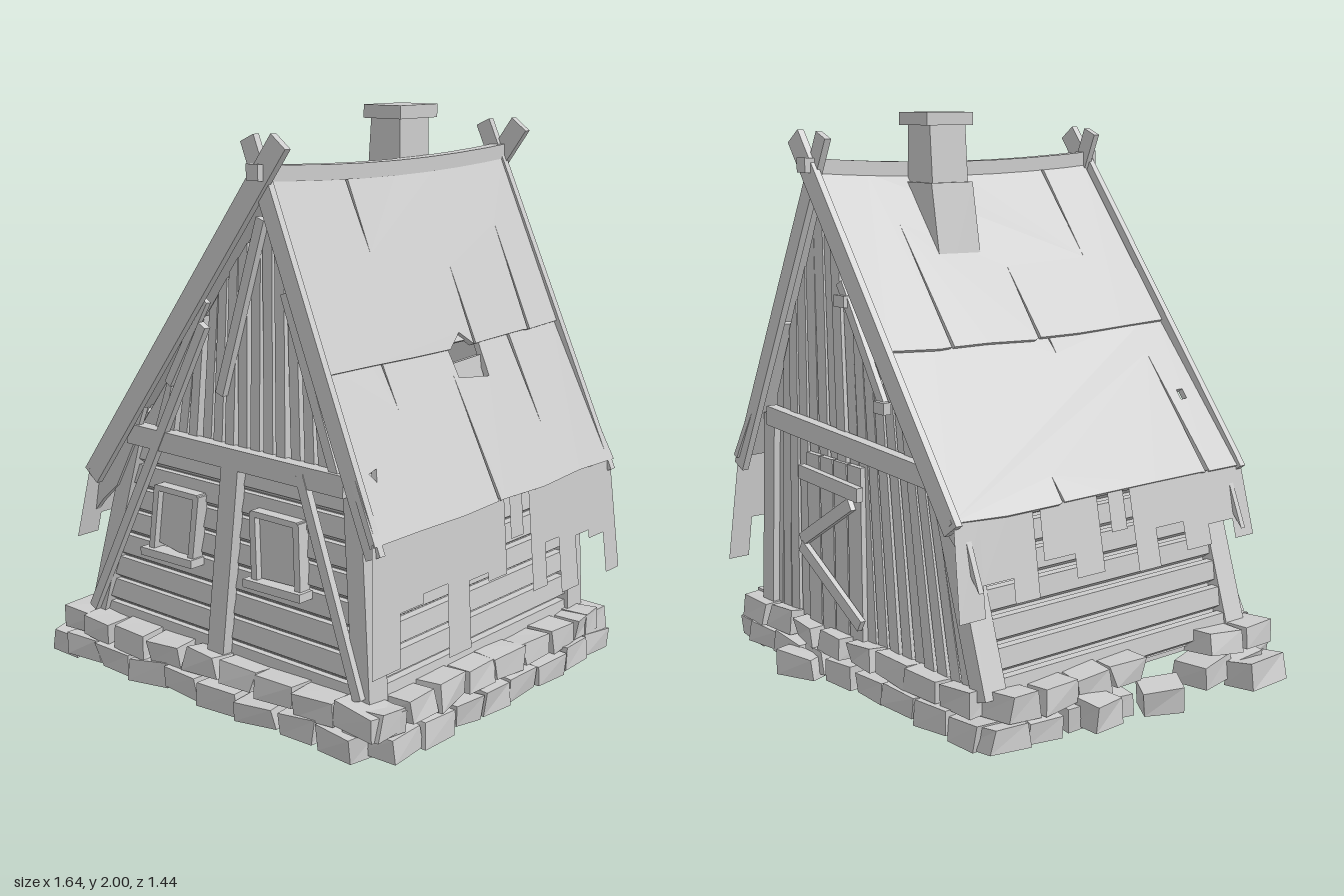
import * as THREE from 'three';

export function createModel() {
  const model = new THREE.Group();
  const grey = new THREE.MeshStandardMaterial({ color: 0xcccccc, side: THREE.DoubleSide });
  grey.name = 'plain grey';

  let seed = 7;
  const rnd = () => (seed = (seed * 16807) % 2147483647) / 2147483647;
  const jit = (a) => (rnd() - 0.5) * 2 * a;

  function add(name, geo, parent = model) {
    if (geo.index) geo = geo.toNonIndexed();
    geo.computeVertexNormals();
    const m = new THREE.Mesh(geo, grey);
    m.name = name;
    parent.add(m);
    return m;
  }
  function group(name) {
    const g = new THREE.Group();
    g.name = name;
    model.add(g);
    return g;
  }
  function prism(pts, depth) {
    const shape = new THREE.Shape(pts.map((p) => new THREE.Vector2(p[0], p[1])));
    return new THREE.ExtrudeGeometry(shape, { depth, bevelEnabled: false });
  }
  // Straight board between two points of a wall plane
  function board(name, a, b, width, z, depth, parent) {
    const dx = b[0] - a[0], dy = b[1] - a[1];
    const m = add(name, new THREE.BoxGeometry(width, Math.hypot(dx, dy), depth), parent);
    m.position.set((a[0] + b[0]) / 2, (a[1] + b[1]) / 2, z);
    m.rotation.z = Math.atan2(-dx, dy);
    return m;
  }
  // Box with its eight corners knocked about
  function rough(w, h, d, amount) {
    const g = new THREE.BoxGeometry(w, h, d), p = g.attributes.position;
    const off = Array.from({ length: 8 }, () => [jit(amount), jit(amount * 0.6), jit(amount)]);
    for (let i = 0; i < p.count; i++) {
      const o = off[(p.getX(i) > 0 ? 1 : 0) + (p.getY(i) > 0 ? 2 : 0) + (p.getZ(i) > 0 ? 4 : 0)];
      p.setXYZ(i, p.getX(i) + o[0], p.getY(i) + o[1], p.getZ(i) + o[2]);
    }
    return g;
  }
  const lerp = THREE.MathUtils.lerp;
  const leftWall = (y) => lerp(-0.57, -0.37, (y - 0.2) / 0.65);
  const rightWall = (y) => lerp(0.65, 0.6, (y - 0.2) / 0.65);
  const roofLine = (x) => (x < 0.27 ? 1.77 - (0.27 - x) * 1.3 : 1.77 - (x - 0.27) * 2.25);

  // Wall cores and floor
  const outline = [[-0.57, 0.15], [0.65, 0.15], [0.61, 0.95], [0.27, 1.75], [-0.42, 0.86], [-0.37, 0.84]];
  for (const z of [0.53, -0.555]) add('gableCore', prism(outline, 0.025)).position.z = z;
  const floor = group('floor');
  for (let i = 0; i < 6; i++) {
    add('floorPlank', new THREE.BoxGeometry(0.2, 0.03, 1.14), floor).position.set(-0.475 + i * 0.204, 0.145 + (i % 2) * 0.006, 0);
  }
  for (const [name, f, s] of [['rightCore', rightWall, 1], ['leftCore', leftWall, -1]]) {
    const pts = [[f(0.15), 0.15], [f(0.86), 0.86], [f(0.86) - s * 0.025, 0.86], [f(0.15) - s * 0.025, 0.15]];
    add(name, prism(pts, 1.1)).position.z = -0.55;
  }

  // Horizontal wall logs with bevelled undersides
  const siding = group('wallLogs');
  const log = (length) => prism([[-0.01, 0], [0.03, 0.026], [0.022, 0.093], [-0.01, 0.093]], length).translate(0, 0, -length / 2);
  for (let i = 0; i < 8; i++) {
    const y = 0.15 + i * 0.09, l = leftWall(y), r = rightWall(y);
    const front = add('frontLog', log(r - l), siding);
    front.position.set((l + r) / 2, y, 0.555);
    front.rotation.set(0, -Math.PI / 2, jit(0.01));
    add('rightLog', log(1.12), siding).position.set(r, y, 0);
    const left = add('leftLog', log(1.12), siding);
    left.position.set(l, y, 0);
    left.rotation.y = Math.PI;
  }

  // Leaning corner posts
  for (const s of [1, -1]) {
    board('leftPost', [-0.595, 0.18], [-0.36, 0.92], 0.07, s * 0.555, 0.09);
    board('rightPost', [0.66, 0.18], [0.615, 0.92], 0.07, s * 0.555, 0.09);
  }

  // Upright planks with tops cut along the roof, fanning in to the apex
  const planks = group('gablePlanks');
  function plank(name, x0, x1, w, y0, z, depth) {
    const top = (x) => Math.max(y0 + 0.01, roofLine(x) - 0.04);
    add(name, prism([[x0 - w, y0], [x0 + w, y0], [x1 + w, top(x1 + w)], [x1 - w, top(x1 - w)]], depth), planks).position.z = z;
  }
  for (let i = 0; i < 15; i++) {
    const x = -0.27 + i * 0.058;
    plank('frontPlank', x, lerp(x, 0.26, 0.14) + jit(0.008), 0.02, 0.9, 0.55, 0.022 + rnd() * 0.015);
  }
  for (let i = 0; i < 18; i++) {
    const depth = 0.022 + rnd() * 0.015;
    plank('backPlank', -0.53 + i * 0.068, lerp(-0.34, 0.57, i / 17), 0.026, 0.16, -0.55 - depth, depth);
  }

  // Front timber framing
  const frame = group('frontFraming');
  board('frontBeam', [-0.38, 0.9], [0.6, 0.895], 0.07, 0.595, 0.05, frame);
  board('centrePost', [0.03, 0.17], [0.115, 0.87], 0.075, 0.6, 0.04, frame);
  board('longBrace', [-0.59, 0.22], [0.0, 1.32], 0.035, 0.61, 0.025, frame);
  board('upperBrace', [0.06, 1.1], [0.25, 1.68], 0.035, 0.595, 0.025, frame);
  board('rightBrace', [0.66, 0.22], [0.42, 0.9], 0.035, 0.61, 0.025, frame);
  board('rightUpperBrace', [0.56, 0.9], [0.35, 1.46], 0.035, 0.595, 0.025, frame);
  board('shortBrace', [-0.18, 1.1], [0.0, 1.4], 0.03, 0.6, 0.02, frame);

  // Front windows
  for (const [x, lean] of [[-0.155, 0.035], [0.315, -0.008]]) {
    const w = group('window');
    board('shutter', [x - lean / 2, 0.52], [x + lean / 2, 0.73], 0.17, 0.59, 0.02, w);
    for (const s of [-1, 1]) board('windowJamb', [x + s * 0.095 - lean / 2, 0.5], [x + s * 0.095 + lean / 2, 0.74], 0.025, 0.6, 0.045, w);
    board('windowHead', [x - 0.1 + lean / 2, 0.735], [x + 0.1 + lean / 2, 0.735], 0.02, 0.6, 0.045, w);
    board('windowSill', [x - 0.13 - lean / 2, 0.5], [x + 0.12 - lean / 2, 0.505], 0.028, 0.61, 0.06, w);
  }

  // Back beam, door with its angled braces, and gable struts
  const back = group('backDoor');
  board('backBeam', [-0.36, 0.86], [0.6, 0.92], 0.07, -0.6, 0.04, back);
  for (let i = 0; i < 4; i++) board('doorPlank', [0.08 + i * 0.085, 0.19], [0.08 + i * 0.085, 0.82], 0.078, -0.588, 0.02, back);
  board('doorTopBar', [0.03, 0.73], [0.39, 0.75], 0.05, -0.61, 0.025, back);
  board('doorUpperBrace', [0.39, 0.5], [0.08, 0.69], 0.045, -0.61, 0.02, back);
  board('doorLowerBrace', [0.39, 0.48], [0.03, 0.27], 0.045, -0.612, 0.02, back);
  board('gableStrut', [0.14, 1.44], [-0.1, 1.05], 0.035, -0.595, 0.02, back);
  for (const [x, y] of [[0.12, 1.38], [-0.1, 1.05]]) board('peg', [x - 0.03, y], [x + 0.03, y], 0.04, -0.605, 0.03, back);

  // Roof sheets with slits and notches [u, half width, length] on either edge
  const roof = group('roof');
  function sheet(name, a, b, w0, w1, side, topCuts, bottomCuts, holes = []) {
    const dir = new THREE.Vector3(b[0] - a[0], b[1] - a[1], 0), len = dir.length();
    dir.normalize();
    const edge = (w, v, cuts, inward) => {
      const pts = [];
      for (let i = 0; i <= 6; i++) {
        const u = lerp(-w, w, i / 6);
        if (!cuts.some((c) => Math.abs(c[0] - u) <= c[1])) pts.push([u, v + (v ? jit(0.008) : 0)]);
      }
      for (const [u, h, l] of cuts) pts.push([u - h, v], [u, v + inward * l], [u + h, v]);
      return pts.sort((p, q) => p[0] - q[0]);
    };
    const shape = new THREE.Shape([...edge(w0, 0, topCuts, 1), ...edge(w1, len, bottomCuts, -1).reverse()].map((p) => new THREE.Vector2(...p)));
    for (const h of holes) shape.holes.push(new THREE.Path(h.map((p) => new THREE.Vector2(...p))));
    const g = new THREE.ExtrudeGeometry(shape, { depth: 0.022, bevelEnabled: false });
    const u = new THREE.Vector3(0, 0, side), n = u.clone().cross(dir);
    g.applyMatrix4(new THREE.Matrix4().makeBasis(u, dir, n).setPosition(a[0], a[1], 0));
    const p = g.attributes.position;
    for (let i = 0; i < p.count; i++) {
      const k = Math.max(0, (p.getY(i) - 0.7) / 1.1);
      p.setY(i, p.getY(i) - 0.025 * k * (1 - (p.getZ(i) / 0.65) ** 2));
    }
    add(name, g, roof);
  }
  sheet('rightUpperRoof', [0.27, 1.795], [0.518, 1.225], 0.605, 0.62, 1, [[0.25, 0.006, 0.26]],
    [[-0.125, 0.006, 0.28], [-0.44, 0.006, 0.4], [-0.06, 0.07, 0.05]]);
  sheet('rightLowerRoof', [0.485, 1.265], [0.745, 0.745], 0.62, 0.665, 1, [[-0.33, 0.008, 0.38], [0.35, 0.005, 0.2]], [[0.03, 0.006, 0.46]],
    [[[-0.16, 0.03], [0.01, 0.03], [0.005, 0.15], [-0.15, 0.17]], [[0.54, 0.36], [0.58, 0.37], [0.56, 0.4]]]);
  sheet('leftUpperRoof', [0.27, 1.795], [-0.15, 1.23], 0.605, 0.62, -1, [[-0.39, 0.006, 0.4]], [[0.36, 0.006, 0.5], [-0.02, 0.006, 0.3]]);
  sheet('leftLowerRoof', [-0.105, 1.265], [-0.525, 0.74], 0.62, 0.66, -1, [[-0.07, 0.006, 0.12]], [[-0.48, 0.01, 0.5], [0.2, 0.005, 0.1]],
    [[[-0.56, 0.34], [-0.53, 0.34], [-0.53, 0.38], [-0.56, 0.38]]]);
  const loose = add('looseShingle', new THREE.BoxGeometry(0.02, 0.09, 0.17), roof);
  loose.position.set(0.535, 1.13, -0.075);
  loose.rotation.set(0.05, 0, 0.15);

  // Sagging ridge beam
  const ridge = new THREE.BoxGeometry(0.05, 0.05, 1.32, 1, 1, 8), rp = ridge.attributes.position;
  for (let i = 0; i < rp.count; i++) rp.setY(i, rp.getY(i) + 1.8 + 0.025 * (rp.getZ(i) / 0.65) ** 2);
  add('ridgeBeam', ridge).position.x = 0.27;

  // Crossed rake boards at both gables
  for (const s of [1, -1]) {
    board('leftRake', [0.355, 1.92], [-0.53, 0.73], 0.075, s * 0.635, 0.025).rotation.x = 0.02 * -s;
    board('rightRake', [0.21, 1.925], [0.75, 0.71], 0.06, s * 0.625, 0.025).rotation.x = 0.03 * -s;
    // Splintered board end under the low eave
    add('raggedRake', prism([[-0.3, 1.0], [-0.52, 0.76], [-0.61, 0.54], [-0.53, 0.63], [-0.45, 0.7], [-0.36, 0.86]], 0.02)).position.z = s * 0.6 - 0.01;
  }

  // Thin ragged sheets hanging from the eaves, flaring outward: [z from, z to, bottom]
  const skirt = group('eaveSheets');
  const rightTeeth = [[0.67, 0.54, 0.35], [0.54, 0.43, 0.52], [0.43, 0.31, 0.55], [0.31, 0.2, 0.31], [0.2, 0.1, 0.53], [0.1, 0.0, 0.5], [-0.03, -0.1, 0.61],
    [-0.14, -0.22, 0.4], [-0.22, -0.3, 0.55], [-0.3, -0.4, 0.35], [-0.4, -0.48, 0.53], [-0.48, -0.57, 0.5], [-0.57, -0.65, 0.35]];
  const leftTeeth = [[0.66, 0.57, 0.5], [0.57, 0.45, 0.57], [0.45, 0.33, 0.5], [0.33, 0.2, 0.6], [0.2, 0.1, 0.47], [0.07, 0.0, 0.62],
    [-0.05, -0.17, 0.5], [-0.17, -0.3, 0.58], [-0.33, -0.43, 0.47], [-0.43, -0.55, 0.55], [-0.55, -0.65, 0.45]];
  function hang(name, teeth, side, x, top, flare) {
    for (const [z0, z1, low] of teeth) {
      const drop = top - low, g = new THREE.PlaneGeometry(z0 - z1, drop), p = g.attributes.position;
      g.rotateY(side * Math.PI / 2).translate(x, (top + low) / 2, (z0 + z1) / 2);
      for (let i = 0; i < p.count; i++) {
        const d = top - p.getY(i);
        p.setX(i, p.getX(i) + side * flare * d);
        p.setZ(i, p.getZ(i) * (1 + 0.13 * d));
      }
      add(name, g, skirt);
    }
  }
  hang('rightEaveSheet', rightTeeth, 1, 0.758, 0.76, 0.08);
  hang('leftEaveSheet', leftTeeth, -1, -0.535, 0.755, 0.2);

  // Chimney with wider foot and cap
  const chimney = group('chimney');
  add('chimneyFoot', prism([[0.02, 1.35], [0.25, 1.35], [0.25, 1.76], [0.09, 1.76]], 0.18), chimney).position.z = -0.25;
  add('chimneyStack', prism([[0.1, 1.74], [0.245, 1.74], [0.24, 1.96], [0.115, 1.96]], 0.155), chimney).position.z = -0.237;
  add('chimneyCap', new THREE.BoxGeometry(0.16, 0.045, 0.2), chimney).position.set(0.18, 1.9775, -0.16);

  // Two courses of rough foundation stones
  const stones = group('foundationStones');
  function stone(x, y, z, w, h, d, turn) {
    const m = add('stone', rough(w, h, d, 0.012), stones);
    m.position.set(x, y, z);
    m.rotation.set(jit(0.1), turn + jit(0.08), jit(0.08));
  }
  for (const course of [0, 1]) {
    const y = course ? 0.17 : 0.085, inset = course * 0.015;
    for (let i = 0; i < 8; i++) {
      const t = (i + course * 0.4) / 7.4;
      stone(lerp(-0.58, 0.69, t), y, 0.61 - inset, 0.14 + rnd() * 0.03, 0.08, 0.15, 0);
      stone(lerp(-0.58, 0.69, t), y, -0.58 + inset, 0.14 + rnd() * 0.03, 0.08, 0.15, 0);
      stone(0.715 - inset, y, lerp(-0.57, 0.59, t), 0.15, 0.08, 0.13 + rnd() * 0.03, 0);
      if (i !== 4 && i !== 5) stone(-0.645 + inset, y, lerp(-0.57, 0.58, t), 0.15, 0.08, 0.12 + rnd() * 0.03, jit(0.2));
    }
  }
  // Stones fallen out of line
  stone(-0.735, 0.06, 0.54, 0.12, 0.09, 0.22, 0.2);
  stone(-0.75, 0.09, 0.05, 0.11, 0.09, 0.14, -0.4);
  stone(-0.73, 0.1, -0.22, 0.12, 0.09, 0.12, 0.1);
  stone(0.32, 0.07, -0.68, 0.18, 0.08, 0.08, 0.35);

  return model;
}
